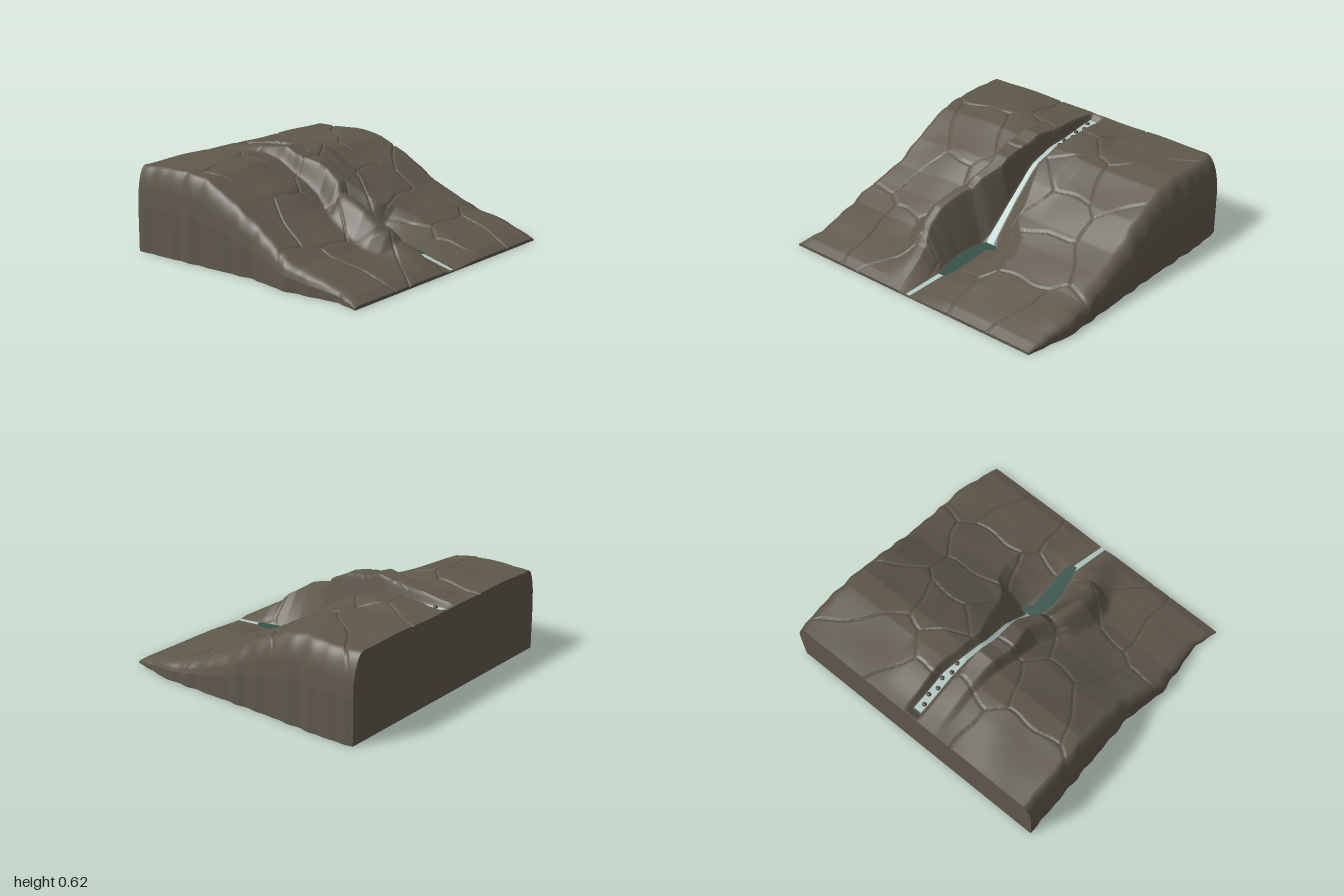
import * as THREE from 'three';

const rock = new THREE.MeshStandardMaterial({ color: 0x5f584c });
const water = new THREE.MeshStandardMaterial({ color: 0xb2c8c3, side: THREE.DoubleSide });
const poolWater = new THREE.MeshStandardMaterial({ color: 0x35534b, side: THREE.DoubleSide });
const stone = new THREE.MeshStandardMaterial({ color: 0x4b473f });
rock.name = 'rock'; water.name = 'stream water'; poolWater.name = 'pool water'; stone.name = 'wet stone';

// Piecewise-linear lookup in a list of [z, value] pairs
function at(table, z) {
  for (let i = 1; i < table.length; i++) {
    const [z0, v0] = table[i - 1], [z1, v1] = table[i];
    if (z <= z1) return v0 + (v1 - v0) * Math.max(0, (z - z0) / (z1 - z0));
  }
  return table[table.length - 1][1];
}
const clamp01 = (t) => Math.min(1, Math.max(0, t));
const ease = (t) => { t = clamp01(t); return t * t * (3 - 2 * t); };

// Lumpy plan outline of the two sides
const leftLine = [[-0.9, -0.9], [0.07, -0.91], [0.35, -0.975], [0.75, -0.95], [0.9, -1]];
const rightLine = [[-0.9, 0.98], [-0.7, 0.99], [-0.2, 0.96], [0.6, 0.94], [0.9, 0.865]];
const lump = (z) => 0.006 * Math.sin(z * 38) * Math.cos(z * 7) * ease((0.9 - Math.abs(z)) / 0.1);
const leftSide = (z) => at(leftLine, z) + lump(z);
const rightSide = (z) => at(rightLine, z) + lump(z + 0.05);

// Hill profile and the higher crest on the cliff side of the gorge
const hill = [[-0.9, 0.55], [-0.5, 0.555], [-0.35, 0.53], [-0.1, 0.415], [0.1, 0.295], [0.25, 0.225], [0.45, 0.145],
  [0.65, 0.1], [0.84, 0.048], [0.9, 0.02]];
const crest = [[-0.9, 0.55], [-0.33, 0.62], [-0.24, 0.58], [-0.05, 0.55], [0.13, 0.46], [0.17, 0.4], [0.4, 0.33], [0.57, 0.23],
  [0.61, 0.17], [0.9, 0.02]];
// Gorge: bed height, centre line, bed half width, and width of either bank
const bed = [[-0.89, 0.548], [-0.85, 0.515], [-0.4, 0.5], [-0.25, 0.45], [0, 0.27], [0.2, 0.05], [0.66, 0.045], [0.9, 0.008]];
const centre = [[-0.75, 0.04], [-0.55, 0.048], [-0.2, 0.012], [0, 0.02], [0.18, 0], [0.22, 0.01], [0.4, -0.02], [0.6, -0.005], [0.9, -0.065]];
const bedHalf = [[-0.55, 0.033], [-0.4, 0.023], [0, 0.025], [0.15, 0.032], [0.22, 0.07], [0.58, 0.05], [0.68, 0.026]];
const cliffWidth = [[-0.9, 0.02], [-0.3, 0.025], [0, 0.05], [0.2, 0.12], [0.5, 0.15], [0.9, 0.06]];
const bankWidth = [[-0.9, 0.03], [-0.2, 0.04], [0.1, 0.13], [0.35, 0.28], [0.9, 0.25]];

// Middles of the rock slabs; cracks run halfway between neighbours
const slabs = [[-0.84, -0.05], [-0.45, -0.75], [-0.1, -0.75], [-0.2, -0.35], [-0.42, -0.25], [-0.43, 0.15],
  [-0.15, 0], [-0.8, 0.62], [-0.46, 0.6], [-0.2, 0.35], [-0.2, 0.8], [0.15, -0.75], [0.44, -0.59], [0.18, -0.45],
  [0.32, -0.27], [0.66, -0.36], [0.32, 0.04], [0.12, -0.05], [0.36, 0.28], [0.93, 0], [0.14, 0.38], [0.38, 0.68],
  [0.82, 0.82], [0.1, 0.72]];
function crackDistance(px, pz) {
  const x = px + 0.012 * Math.sin(pz * 17), z = pz + 0.012 * Math.sin(px * 19);
  const away = ([a, b]) => Math.hypot(x - a, z - b);
  const near = slabs.reduce((p, q) => (away(q) < away(p) ? q : p));
  let best = 1;
  for (const s of slabs) if (s !== near) {
    const gap = Math.hypot(s[0] - near[0], s[1] - near[1]);
    best = Math.min(best, (away(s) ** 2 - away(near) ** 2) / (2 * gap));
  }
  return best;
}

function height(x, z) {
  const u = x - at(centre, z), base = at(hill, z), low = at(bed, z);
  const off = Math.max(0, Math.abs(u) - at(bedHalf, z));
  let top = base, t;
  if (u < 0) {
    // Crest shelf, dropping off sharply uphill and gently downhill
    const cw = at(cliffWidth, z), front = ease((z + 0.2) / 0.4);
    top += (at(crest, z) - base) * (1 - ease((off - cw - 0.11 + 0.07 * front) / (0.06 + 0.09 * front)));
    top += 0.032 * Math.exp(-(((x + 0.42) / 0.22) ** 2)) * ease((0.6 - z) / 0.5) * ease((z + 0.95) / 0.35);
    t = clamp01(off / cw);
  } else {
    top += 0.025 * (1 - ease((off - 0.18) / 0.12)) * ease((0.1 - z) / 0.3) * ease((z + 0.85) / 0.3);
    t = clamp01(off / at(bankWidth, z));
  }
  // Gentle swells and slab cracks, fading out over the bed
  const swell = 0.005 * Math.sin(x * 9 + z * 4) * Math.sin(z * 11 - x * 3) * ease((0.9 - z) / 0.2);
  const groove = 0.012 * clamp01(1 - crackDistance(x, z) / 0.01);
  let h = low + (top + swell - low) * t - groove * clamp01(off / 0.03);
  // Rounded shoulders along the two sides
  const d = Math.min((x - leftSide(z)) / 0.07, (rightSide(z) - x) / 0.1);
  if (d < 1) h *= 0.52 + 0.48 * Math.sqrt(1 - (1 - Math.max(0, d)) ** 2);
  return Math.max(0.006, h);
}

// Grid surface from point(u, v), facing dv x du
function grid(nu, nv, point) {
  const pos = [], index = [];
  for (let j = 0; j <= nv; j++) for (let i = 0; i <= nu; i++) pos.push(...point(i / nu, j / nv));
  for (let j = 0; j < nv; j++) for (let i = 0; i < nu; i++) {
    const a = j * (nu + 1) + i, c = a + nu + 1;
    index.push(a, c, a + 1, a + 1, c, c + 1);
  }
  const g = new THREE.BufferGeometry();
  g.setAttribute('position', new THREE.Float32BufferAttribute(pos, 3));
  g.setIndex(index);
  g.computeVertexNormals();
  return g;
}

export function createModel() {
  const model = new THREE.Group();
  model.name = 'rocky hillside with stream';
  const add = (name, geometry, material, parent = model) => {
    const mesh = new THREE.Mesh(geometry, material);
    mesh.name = name;
    parent.add(mesh);
    return mesh;
  };
  const NX = 270, NZ = 210;
  const ground = (s, t) => {
    const z = -0.9 + 1.8 * t, x = THREE.MathUtils.lerp(leftSide(z), rightSide(z), s);
    return [x, height(x, z), z];
  };

  // Ground, its four walls and the underside
  add('hillside', grid(NX, NZ, ground), rock);
  const wall = (name, n, edge) => add(name, grid(n, 1, (u, v) => {
    const [x, y, z] = ground(...edge(u));
    return [x, y * (1 - v), z];
  }), rock);
  wall('frontWall', NX, (u) => [u, 1]);
  wall('rightEdgeWall', NZ, (u) => [1, 1 - u]);
  wall('backWall', NX, (u) => [1 - u, 0]);
  wall('leftEdgeWall', NZ, (u) => [0, u]);
  add('underside', grid(1, NZ, (u, v) => { const p = ground(1 - u, v); return [p[0], 0, p[2]]; }), rock);

  // Stream above and below the pool
  const ribbon = (name, z0, z1, half) => add(name, grid(2, 60, (u, v) => {
    const z = z0 + (z1 - z0) * v;
    return [at(centre, z) + (u * 2 - 1) * at(half, z), at(bed, z) + 0.01, z];
  }), water);
  ribbon('upperStream', -0.84, 0.215, [[-0.55, 0.028], [-0.4, 0.017], [-0.2, 0.015], [0, 0.018], [0.2, 0.028]]);
  ribbon('lowerStream', 0.64, 0.9, [[0.64, 0.018], [0.9, 0.015]]);

  // Pool at the foot of the fall
  const outline = [[-0.03, 0.2], [0.06, 0.2], [0.08, 0.235], [0.03, 0.27], [0.035, 0.6], [0.015, 0.655], [-0.025, 0.66],
    [-0.07, 0.45], [-0.065, 0.33]];
  const pool = new THREE.ShapeGeometry(new THREE.Shape(outline.map(([x, z]) => new THREE.Vector2(x, -z))));
  add('pool', pool.rotateX(-Math.PI / 2).translate(0, 0.064, 0), poolWater);

  // Stones zigzagging down the upper stream
  const stones = new THREE.Group();
  stones.name = 'streamStones';
  model.add(stones);
  for (let i = 0; i < 6; i++) {
    const z = -0.785 + i * 0.066;
    const s = add('stone', new THREE.SphereGeometry(0.015, 12, 8), stone, stones);
    s.position.set(at(centre, z) + (i % 2 ? 0.011 : -0.009), at(bed, z) + 0.012, z);
    s.scale.y = 0.8;
  }
  return model;
}
